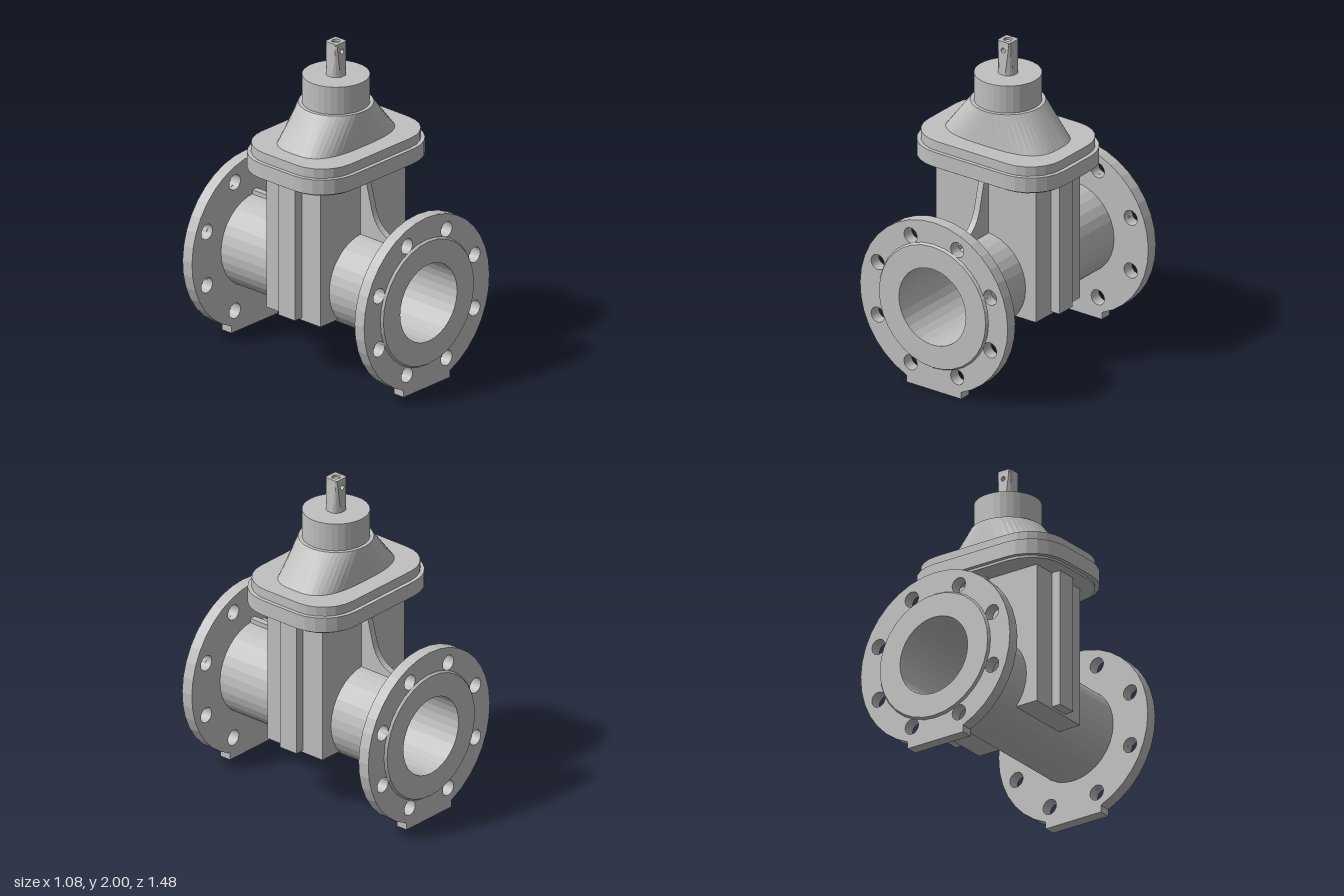
import * as THREE from 'three';

const AXIS_Y = 0.545; // height of the pipe axis
const BORE = 0.245;

// flat facets without touching the material
function faceted(geo) {
  const g = geo.index ? geo.toNonIndexed() : geo;
  g.computeVertexNormals();
  return g;
}

function extrude(shape, depth, curveSegments = 16, steps = 1) {
  return new THREE.ExtrudeGeometry(shape, { depth, curveSegments, steps, bevelEnabled: false });
}

function circlePath(x, y, r) {
  return new THREE.Path().absarc(x, y, r, 0, Math.PI * 2, true);
}

// rounded rectangular slab lying flat between two heights
function slab(hx, hz, r, y0, y1) {
  const s = new THREE.Shape();
  s.absarc(hx - r, hz - r, r, 0, Math.PI / 2);
  s.absarc(r - hx, hz - r, r, Math.PI / 2, Math.PI);
  s.absarc(r - hx, r - hz, r, Math.PI, Math.PI * 1.5);
  s.absarc(hx - r, r - hz, r, Math.PI * 1.5, Math.PI * 2);
  return extrude(s, y1 - y0, 3).rotateX(-Math.PI / 2).translate(0, y0, 0);
}

// loft through superellipse rings [y, halfX, halfZ, exponent], closed on top
function loft(rings, n = 48) {
  const pos = [], idx = [];
  for (const [y, hx, hz, e] of rings) {
    for (let i = 0; i < n; i++) {
      const t = (i / n) * Math.PI * 2, c = Math.cos(t), s = Math.sin(t);
      pos.push(hx * Math.sign(c) * Math.abs(c) ** (2 / e), y, hz * Math.sign(s) * Math.abs(s) ** (2 / e));
    }
  }
  for (let k = 0; k < rings.length - 1; k++) {
    for (let i = 0; i < n; i++) {
      const a = k * n + i, b = k * n + (i + 1) % n;
      idx.push(a, a + n, b, b, a + n, b + n);
    }
  }
  const top = (rings.length - 1) * n;
  pos.push(0, rings[rings.length - 1][0], 0);
  for (let i = 0; i < n; i++) idx.push(rings.length * n, top + (i + 1) % n, top + i);
  const g = new THREE.BufferGeometry();
  g.setAttribute('position', new THREE.Float32BufferAttribute(pos, 3));
  g.setIndex(idx);
  return faceted(g);
}

// end flange with bolt holes and a flat foot
function flangeGeometry() {
  const R = 0.54, a = Math.asin(0.2 / R);
  const s = new THREE.Shape();
  s.moveTo(-0.2, 0).lineTo(0.2, 0);
  s.absarc(0, AXIS_Y, R, -Math.PI / 2 + a, Math.PI * 1.5 - a);
  s.closePath();
  s.holes.push(circlePath(0, AXIS_Y, 0.27));
  for (let i = 0; i < 8; i++) {
    const t = (i + 0.5) * Math.PI / 4;
    s.holes.push(circlePath(0.445 * Math.cos(t), AXIS_Y + 0.445 * Math.sin(t), 0.048));
  }
  return extrude(s, 0.075);
}

// hollow pipe with the raised sealing faces at both ends
function pipeGeometry() {
  const half = [[BORE, 0.74], [0.39, 0.74], [0.4, 0.725], [0.4, 0.69], [0.29, 0.69]];
  const pts = half.map(([r, z]) => new THREE.Vector2(r, -z));
  for (const [r, z] of [...half].reverse()) pts.push(new THREE.Vector2(r, z));
  pts.push(pts[0].clone());
  const g = new THREE.LatheGeometry(pts, 32).rotateX(Math.PI / 2).translate(0, AXIS_Y, 0);
  return faceted(g);
}

// gate housing, arched over the bore
function bodyGeometry() {
  const r = 0.27, y0 = 0.35, a = Math.asin((AXIS_Y - y0) / r), x = r * Math.cos(a);
  const s = new THREE.Shape();
  s.moveTo(x, y0).lineTo(0.365, y0).lineTo(0.365, 1.24).lineTo(-0.365, 1.24).lineTo(-0.365, y0).lineTo(-x, y0);
  s.absarc(0, AXIS_Y, r, Math.PI + a, -a, true);
  return extrude(s, 0.43).translate(0, 0, -0.215);
}

// web sweeping from the pipes up to the bonnet flange
function ribGeometry() {
  const s = new THREE.Shape();
  s.moveTo(-0.66, 0.81).lineTo(0.66, 0.81).lineTo(0.66, 0.86).lineTo(0.5, 0.86);
  s.bezierCurveTo(0.38, 0.86, 0.32, 0.94, 0.3, 1.03);
  s.lineTo(0.245, 1.24).lineTo(-0.245, 1.24).lineTo(-0.3, 1.03);
  s.bezierCurveTo(-0.32, 0.94, -0.38, 0.86, -0.5, 0.86);
  s.lineTo(-0.66, 0.86);
  return extrude(s, 0.04, 10).rotateY(-Math.PI / 2).translate(0.02, 0, 0);
}

// tapered square stem, its corners trimmed by a cylinder, with a cross hole
const STEM_R = 0.06, STEM_TOP = 1.985;
const stemHalf = y => 0.057 - 0.012 * (y - 1.79) / 0.21;
const stemFlat = y => Math.max(0.02, Math.sqrt(STEM_R ** 2 - stemHalf(y) ** 2));

function stemGeometry() {
  const right = [], levels = 8;
  for (let i = 0; i <= levels; i++) {
    const y = 1.78 + (STEM_TOP - 1.78) * i / levels;
    right.push(new THREE.Vector2(stemFlat(y), y));
  }
  const left = right.map(p => new THREE.Vector2(-p.x, p.y)).reverse();
  const s = new THREE.Shape([...right, ...left]);
  s.holes.push(circlePath(0, 1.945, 0.015));
  const g = extrude(s, 1, 8, 8), p = g.attributes.position;
  for (let i = 0; i < p.count; i++) {
    const x = p.getX(i), h = stemHalf(p.getY(i)), z = (2 * p.getZ(i) - 1) * h;
    p.setZ(i, z);
    if (Math.abs(x) > 0.018) {
      const w = Math.sqrt(Math.max(0, STEM_R ** 2 - z * z));
      p.setX(i, Math.sign(x) * Math.max(0.02, Math.min(h, w)));
    }
  }
  return faceted(g);
}

// stem top with a shallow centre recess
function stemCapGeometry() {
  const h = stemHalf(STEM_TOP), w = stemFlat(STEM_TOP);
  const s = new THREE.Shape([[h, -w], [h, w], [w, h], [-w, h], [-h, w], [-h, -w], [-w, -h], [w, -h]]
    .map(([x, y]) => new THREE.Vector2(x, y)));
  s.holes.push(circlePath(0, 0, 0.026));
  return extrude(s, 2 - STEM_TOP, 10).rotateX(-Math.PI / 2).translate(0, STEM_TOP, 0);
}

export function createModel() {
  const model = new THREE.Group();
  model.name = 'gateValve';
  const castMetal = new THREE.MeshStandardMaterial({ color: 0xc0c0c0 });
  castMetal.name = 'cast metal grey';

  const add = (name, geo) => {
    const m = new THREE.Mesh(geo, castMetal);
    m.name = name;
    model.add(m);
    return m;
  };

  // flow passage and end flanges
  add('pipe', pipeGeometry());
  const flange = flangeGeometry();
  add('frontFlange', flange).position.z = 0.65;
  add('backFlange', flange).position.z = -0.725;

  // housing, side guides and web
  add('body', bodyGeometry());
  for (const [name, side] of [['leftGuide', 1], ['rightGuide', -1]]) {
    add(name, new THREE.BoxGeometry(0.075, 0.875, 0.13)).position.set(side * 0.3875, 0.8025, 0);
  }
  add('rib', ribGeometry());

  // bolted bonnet flange
  add('bonnetGasket', slab(0.485, 0.355, 0.225, 1.23, 1.25));
  add('lowerBonnetFlange', slab(0.51, 0.38, 0.25, 1.245, 1.34));
  add('upperBonnetFlange', slab(0.485, 0.355, 0.225, 1.335, 1.4));

  // bonnet dome, collar and stem
  add('bonnet', loft([[1.39, 0.385, 0.235, 3], [1.4, 0.38, 0.235, 3], [1.615, 0.222, 0.222, 2]]));
  add('collar', faceted(new THREE.CylinderGeometry(0.2, 0.2, 0.19, 32))).position.y = 1.695;
  add('stem', stemGeometry());
  add('stemCap', stemCapGeometry());

  return model;
}
